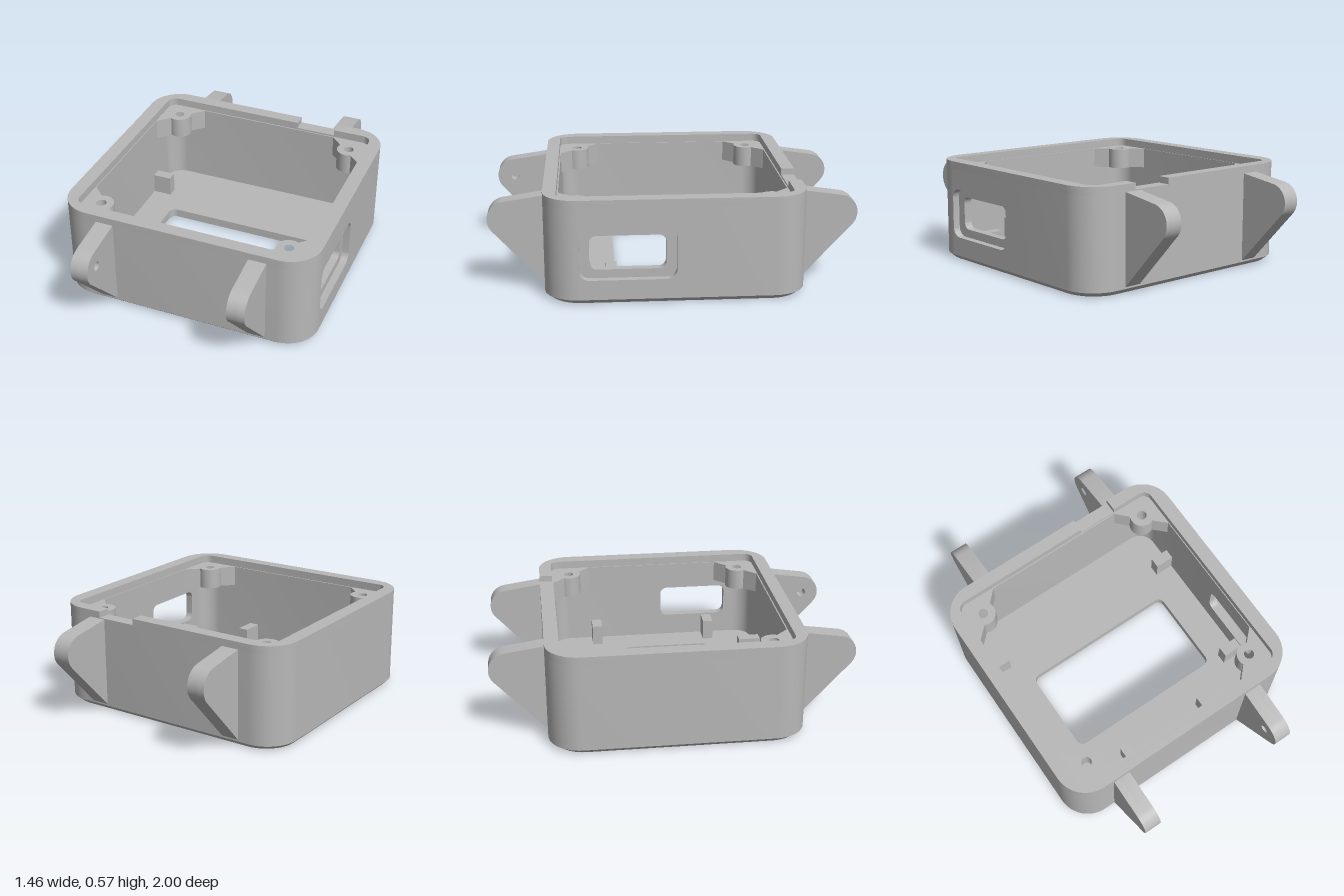
import * as THREE from 'three';
import { toCreasedNormals } from 'three/addons/utils/BufferGeometryUtils.js';

const X = 0.73, Z = 0.70, R = 0.18;           // outer half sizes and corner radius
const FLOOR = 0.05, LEDGE = 0.525, TOP = 0.57; // heights

const V = (x, y) => new THREE.Vector2(x, y);

function arc(cx, cy, r, from, to, n = 12) {
  const pts = [];
  for (let i = 0; i <= n; i++) {
    const a = THREE.MathUtils.degToRad(from + (to - from) * i / n);
    pts.push(V(cx + r * Math.cos(a), cy + r * Math.sin(a)));
  }
  return pts;
}

// Rounded rectangle, counter-clockwise, beginning at the given corner
function roundRect(x0, x1, y0, y1, r, first = 0) {
  const centres = [[x1 - r, y1 - r], [x0 + r, y1 - r], [x0 + r, y0 + r], [x1 - r, y0 + r]];
  const pts = [];
  for (let j = 0; j < 4; j++) {
    const k = (first + j) % 4;
    pts.push(...arc(...centres[k], r, k * 90, k * 90 + 90));
  }
  return pts;
}

function extrude(points, depth, holes = []) {
  const shape = new THREE.Shape(points);
  for (const h of holes) shape.holes.push(new THREE.Path(h));
  return new THREE.ExtrudeGeometry(shape, { depth, bevelEnabled: false });
}

// Plan shape (x, -z) raised from y0 to y1
const upright = (points, y0, y1, holes) =>
  extrude(points, y1 - y0, holes).rotateX(-Math.PI / 2).translate(0, y0, 0);

// Side shape (z, y) spanning x0 to x1
const sideways = (points, x0, x1, holes) =>
  extrude(points, x1 - x0, holes).rotateY(-Math.PI / 2).translate(x1, 0, 0);

// Wall ring in plan with a gap: first is the corner just after the gap
function openRing(ix, iz, ir, first, outerGap, innerGap) {
  const outer = roundRect(-X, X, -Z, Z, R, first);
  const inner = roundRect(-ix, ix, -iz, iz, ir, first).reverse();
  return [outerGap[0], ...outer, outerGap[1], innerGap[1], ...inner, innerGap[0]];
}

export function createModel() {
  const group = new THREE.Group();
  const grey = new THREE.MeshStandardMaterial({ color: 0xb8b8b8 });
  grey.name = 'grey plastic';
  const add = (name, geometry) => {
    const mesh = new THREE.Mesh(toCreasedNormals(geometry, 0.4), grey);
    mesh.name = name;
    group.add(mesh);
  };

  // Floor with screen opening; lower outer edge is chamfered
  const opening = roundRect(-0.465, 0.465, -0.32, 0.19, 0.04);
  const base = upright(roundRect(-X, X, -Z, Z, R), 0, 0.025, [opening]);
  const p = base.attributes.position;
  for (let i = 0; i < p.count; i++) {
    const x = p.getX(i), z = p.getZ(i);
    if (p.getY(i) < 0.01 && (Math.abs(x) > 0.5 || Math.abs(z) > 0.4)) {
      p.setX(i, x * (X - 0.025) / X);
      p.setZ(i, z * (Z - 0.025) / Z);
    }
  }
  add('chamferedBase', base);
  add('floor', upright(roundRect(-0.66, 0.66, -0.64, 0.64, 0.1), 0.025, FLOOR, [opening]));

  // Walls, left open on the +x side for the port panel
  const ix = 0.645, iz = 0.62;
  add('walls', upright(openRing(ix, iz, 0.1, 0,
    [V(X, 0.02), V(X, -0.52)], [V(ix, 0.02), V(ix, -0.52)]), 0.025, LEDGE));

  // Port panel: wide recess outside, smaller cutout inside
  const panel = [V(-0.02, 0.025), V(0.52, 0.025), V(0.52, LEDGE), V(-0.02, LEDGE)];
  add('portRecess', sideways(panel, 0.69, X, [roundRect(0, 0.515, 0.133, 0.412, 0.055)]));
  add('portCutout', sideways(panel, ix, 0.69, [roundRect(0.055, 0.46, 0.18, 0.366, 0.04)]));

  // Rim with a shallow notch in the back
  const rz = 0.627;
  add('rim', upright(openRing(0.65, rz, 0.05, 1,
    [V(0.19, Z), V(0.42, Z)], [V(0.19, rz), V(0.42, rz)]), LEDGE, TOP));
  add('notchSill', upright([V(0.19, rz), V(0.42, rz), V(0.42, Z), V(0.19, Z)], LEDGE, 0.535));

  // Screw bosses bridging the four corners
  const boss = [V(0.4, 0.64), ...arc(0.547, 0.523, 0.07, 154, 296, 16), V(0.66, 0.38), V(0.66, 0.64)];
  const screw = arc(0.547, 0.523, 0.028, 0, 345, 23);

  // Lug profile and its pin hole, in (z, y)
  const lug = [V(0.69, 0.035), V(0.7, 0.035), ...arc(0.9, 0.4, 0.1, -42.6, 81.8, 16), V(0.7, 0.53), V(0.69, 0.53)];
  const pin = arc(0.9, 0.4, 0.026, 0, 345, 23);

  for (const sx of [-1, 1]) {
    for (const sz of [-1, 1]) {
      const flip = pts => pts.map(q => V(q.x * sx, q.y * sz));
      add('screwBoss', upright(flip(boss), 0.405, LEDGE, [flip(screw)]));

      // Lugs: pin hole is blind, open only on the inner face
      const flipZ = pts => pts.map(q => V(q.x * sz, q.y));
      const span = (a, b) => sx > 0 ? [a, b] : [-b, -a];
      add('lugInner', sideways(flipZ(lug), ...span(0.388, 0.45), [flipZ(pin)]));
      add('lugOuter', sideways(flipZ(lug), ...span(0.45, 0.488)));
    }

    // Locating blocks on the floor, against the side and front walls
    const blocks = [[0.595, -0.355, 0.12, 0.06], [0.595, 0.345, 0.12, 0.06], [0.27, 0.56, 0.06, 0.14]];
    for (const [x, z, w, d] of blocks) {
      // Keep the block behind the port cutout clear of the outer recess
      add('locatingBlock', new THREE.BoxGeometry(w, 0.13, d).translate(sx * x, 0.105, z));
    }
  }
  return group;
}
